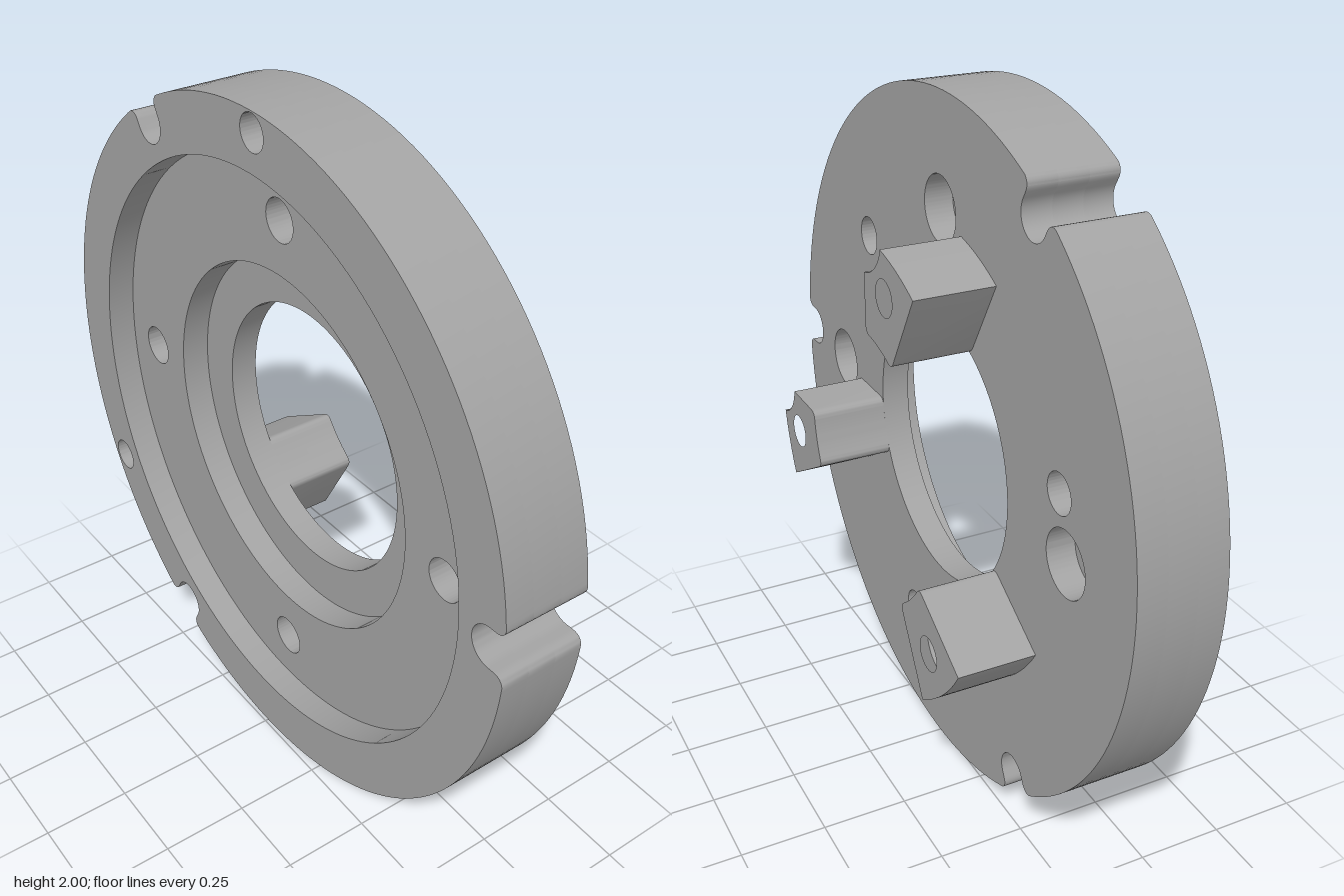
import * as THREE from 'three';
import { toCreasedNormals } from 'three/addons/utils/BufferGeometryUtils.js';

const rad = THREE.MathUtils.degToRad;
const V = (x, y) => new THREE.Vector2(x, y);
const polar = (r, deg, cx = 0, cy = 0) => V(cx + r * Math.cos(rad(deg)), cy + r * Math.sin(rad(deg)));
const turn = (pts, deg) => pts.map((p) => p.clone().rotateAround(V(0, 0), rad(deg)));

// Points along a circular arc
function arc(r, from, to, n, cx = 0, cy = 0) {
  return Array.from({ length: n + 1 }, (_, i) => polar(r, from + ((to - from) * i) / n, cx, cy));
}

// Rounded corner between two points
const fillet = (a, corner, b) => new THREE.QuadraticBezierCurve(a, corner, b).getPoints(6);

// Flat plate from an outline with round holes given as [x, y, radius]
function plate(outline, holes, z0, z1) {
  const shape = new THREE.Shape(outline);
  for (const [x, y, r] of holes) {
    const hole = new THREE.Path();
    hole.absarc(x, y, r, 0, Math.PI * 2, true);
    shape.holes.push(hole);
  }
  const geo = new THREE.ExtrudeGeometry(shape, { depth: z1 - z0, bevelEnabled: false, curveSegments: r96(holes) });
  geo.translate(0, 0, z0);
  return toCreasedNormals(geo, 0.5);
}
// Fine circles for plates with a large bore, coarser for small holes
const r96 = (holes) => (holes.some((h) => h[2] > 0.3) ? 72 : 32);

// Ring of equal holes
const holeRing = (r, size, angles) => angles.map((a) => [...polar(r, a).toArray(), size]);

// Disc outline with three rounded keyhole notches
function discOutline() {
  const third = [
    ...fillet(V(0.9964, -0.085), V(0.992, -0.06), V(0.965, -0.06)),
    ...arc(0.06, 270, 90, 20, 0.945, 0),
    ...fillet(V(0.965, 0.06), V(0.992, 0.06), V(0.9964, 0.085)),
    ...arc(1, 5.8, 114.2, 50),
  ];
  return [1, 121, 241].flatMap((a) => turn(third, a));
}

// Half of a wedge foot, from inner middle to outer middle; optional bolt clearance
function footHalf(cut) {
  const side = cut ? arc(0.13, -171.2, -106.4, 12, 0.69, 0) : [];
  const pts = [
    ...arc(0.396, -15, -6.5, 6),
    ...fillet(polar(0.396, -6), V(0.396, -0.02), V(0.42, -0.02)),
    ...side,
    ...arc(0.665, cut ? -10.6 : -1.72, -15, 8),
  ];
  return turn(pts, 15);
}

function footOutline(cutLeft, cutRight) {
  const mirrored = footHalf(cutRight).map((p) => V(p.x, -p.y)).reverse();
  return [...footHalf(cutLeft), ...mirrored.slice(1, -1)];
}

export function createModel() {
  const model = new THREE.Group();
  model.name = 'mountingFlange';
  const steel = new THREE.MeshStandardMaterial({ color: 0xa3a3a3 });
  steel.name = 'grey metal';

  const add = (name, geo) => {
    const mesh = new THREE.Mesh(geo, steel);
    mesh.name = name;
    model.add(mesh);
    return mesh;
  };

  const disc = discOutline();
  const quarters = [0, 90, 180, 270];

  // Back layer: bore, bolt counterbores and blind pin holes
  add('backPlate', plate(disc, [
    [0, 0, 0.396],
    ...holeRing(0.69, 0.092, quarters),
    ...holeRing(0.67, 0.056, [45, 165, 285]),
  ], -0.01, 0.073));

  // Middle layer: inner step and bolt holes
  add('middlePlate', plate(disc, [[0, 0, 0.535], ...holeRing(0.69, 0.06, quarters)], 0.073, 0.157));

  // Front rim with two blind holes
  add('frontRim', plate(disc, [[0, 0, 0.838], [0.015, 0.945, 0.05], [-0.822, -0.453, 0.05]], 0.157, 0.24));

  // Three wedge feet on the back, each with a screw hole
  const feet = [
    [345, true, false],
    [105, false, true],
    [225, false, false],
  ];
  for (const [angle, cutLeft, cutRight] of feet) {
    const foot = add('foot', plate(footOutline(cutLeft, cutRight), [[0.55, 0, 0.05]], -0.235, -0.01));
    foot.rotation.z = rad(angle);
  }

  for (const part of model.children) part.position.y = 1;
  return model;
}
